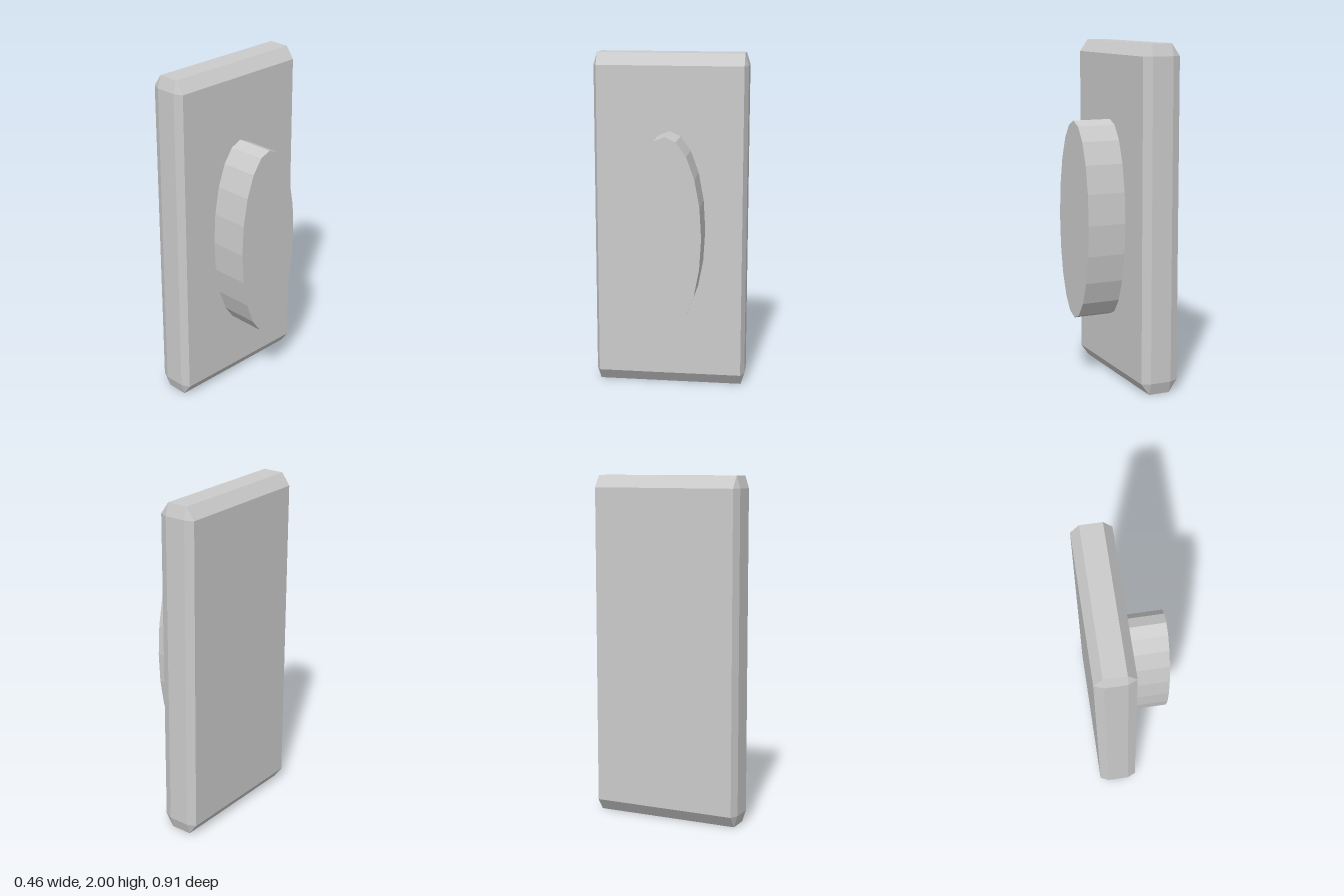
import * as THREE from 'three';
import { ConvexGeometry } from 'three/addons/geometries/ConvexGeometry.js';

// Box with bevelled edges and triangular corners; h = half sizes, b = bevel inset per axis
function bevelledBox(h, b) {
  const points = [];
  for (const sx of [-1, 1]) for (const sy of [-1, 1]) for (const sz of [-1, 1]) {
    for (let axis = 0; axis < 3; axis++) {
      const p = h.map((v, i) => (i === axis ? v : v - b[i]));
      points.push(new THREE.Vector3(sx * p[0], sy * p[1], sz * p[2]));
    }
  }
  return new ConvexGeometry(points);
}

export function createModel() {
  const group = new THREE.Group();
  group.name = 'wallPlateWithButton';
  const material = new THREE.MeshStandardMaterial({ color: 0xcccccc, flatShading: true });

  // Upright bevelled plate
  const plate = new THREE.Mesh(bevelledBox([0.113, 1, 0.453], [0.05, 0.07, 0.022]), material);
  plate.name = 'plate';
  plate.position.set(-0.115, 1, 0);
  group.add(plate);

  // Oval button standing out towards +x
  const oval = new THREE.CylinderGeometry(1, 1, 0.23, 20);
  oval.rotateZ(-Math.PI / 2);
  oval.scale(1, 0.584, 0.213);
  const button = new THREE.Mesh(oval, material);
  button.name = 'button';
  button.position.set(0.113, 0.969, 0);
  group.add(button);

  return group;
}
